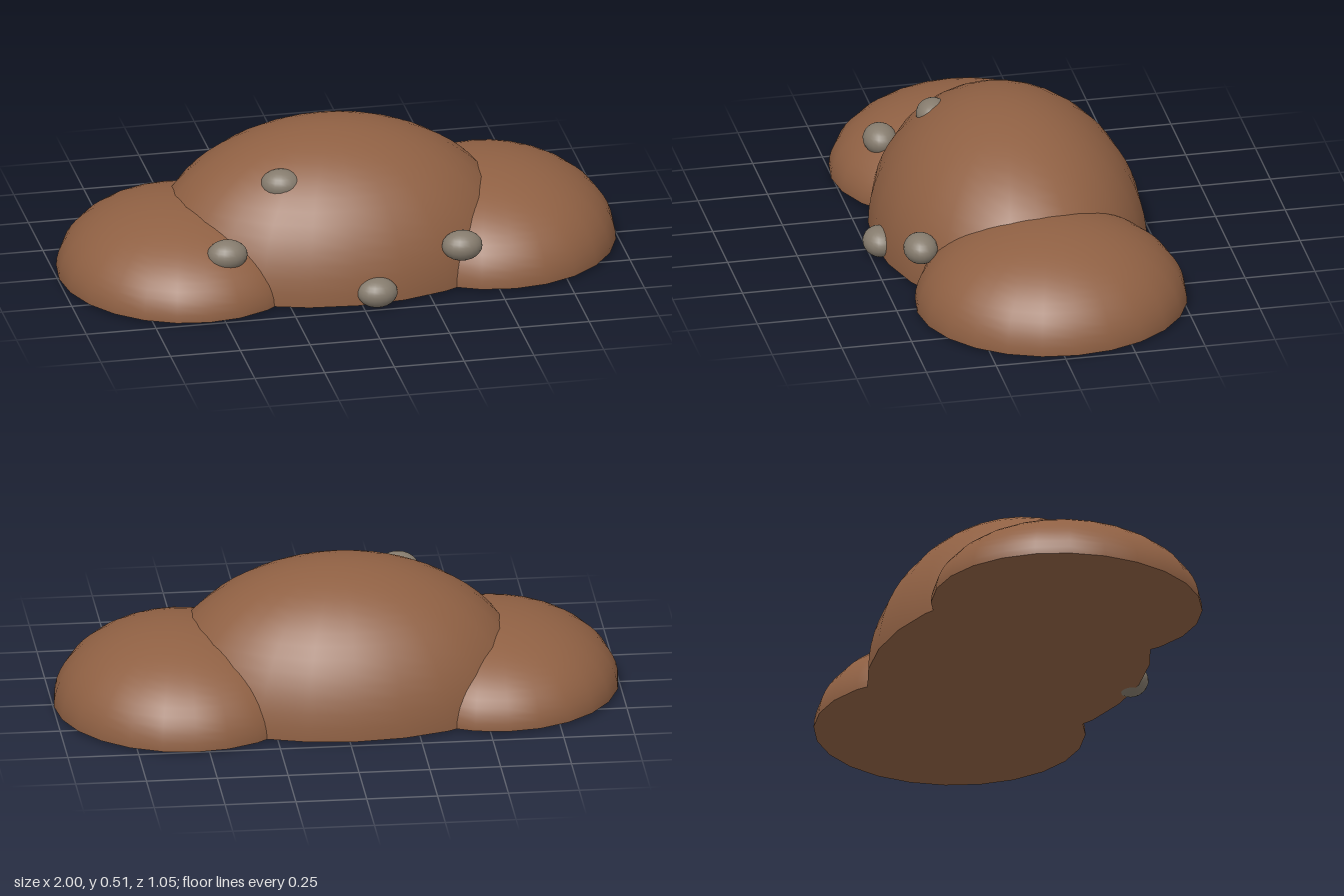
import * as THREE from 'three';

const BASE = 0.012;
const soil = new THREE.MeshStandardMaterial({ color: 0x8f6043 });
const stone = new THREE.MeshStandardMaterial({ color: 0x857b6d });

// Half-ellipsoid heap of earth, closed underneath
function mound(name, x, z, rx, height, rz) {
  const group = new THREE.Group();
  group.name = name;
  const dome = new THREE.Mesh(
    new THREE.SphereGeometry(1, 24, 16, 0, Math.PI * 2, 0, Math.PI / 2), soil);
  dome.name = name + 'Dome';
  const underside = new THREE.Mesh(new THREE.CircleGeometry(1, 24), soil);
  underside.name = name + 'Underside';
  underside.rotation.x = Math.PI / 2;
  group.add(dome, underside);
  group.position.set(x, BASE, z);
  group.scale.set(rx, height, rz);
  return group;
}

// Flattened stone half sunk into the earth
function pebble(index, x, y, z, turn) {
  const mesh = new THREE.Mesh(new THREE.SphereGeometry(1, 20, 14), stone);
  mesh.name = 'pebble' + index;
  mesh.position.set(x, y, z);
  mesh.rotation.y = turn;
  mesh.scale.set(0.072, 0.053, 0.06);
  return mesh;
}

export function createModel() {
  const model = new THREE.Group();
  model.name = 'dirtPile';

  // Three overlapping heaps
  model.add(
    mound('middleMound', -0.02, -0.008, 0.66, 0.498, 0.48),
    mound('rightMound', -0.56, 0.03, 0.44, 0.268, 0.48),
    mound('leftMound', 0.55, -0.043, 0.45, 0.302, 0.48));

  // Scattered pebbles
  [
    [0.05, 0.055, 0.465, 0],
    [0.37, 0.173, 0.387, 0],
    [-0.465, 0.197, 0.355, 0],
    [-0.243, 0.387, 0.212, -0.2],
  ].forEach((p, i) => model.add(pebble(i + 1, ...p)));

  return model;
}
